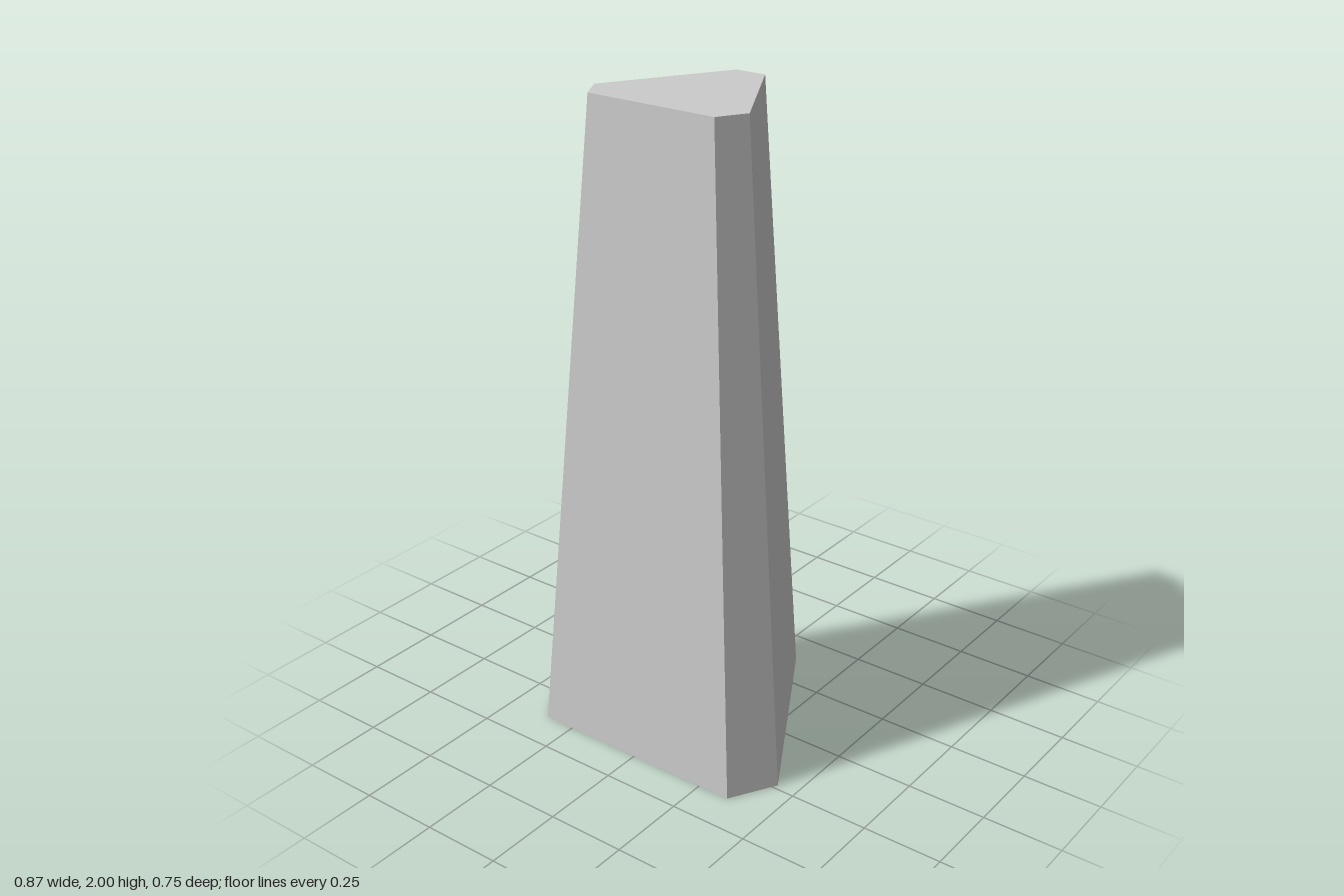
import * as THREE from 'three';

const TOP_RADIUS = 0.2805, BOTTOM_RADIUS = 0.4625, HEIGHT = 2;
const CENTRE_Z = 0.077; // axis of the three-fold symmetry
const CORNER_HALF_ANGLE = THREE.MathUtils.degToRad(10.25);

// Tapered three-sided pillar with chamfered corners: a six-sided frustum whose
// edges are drawn together in pairs around the three corner directions.
function pillarGeometry() {
  const sixth = Math.PI / 3, third = 2 * sixth;
  const geometry = new THREE.CylinderGeometry(
    TOP_RADIUS, BOTTOM_RADIUS, HEIGHT, 6, 1, false, Math.PI / 6
  ).toNonIndexed();
  const pos = geometry.attributes.position;
  for (let i = 0; i < pos.count; i++) {
    const x = pos.getX(i), z = pos.getZ(i);
    const radius = Math.hypot(x, z);
    const angle = Math.atan2(x, z);
    const corner = sixth + third * Math.round((angle - sixth) / third);
    const moved = corner + Math.sign(angle - corner) * CORNER_HALF_ANGLE;
    pos.setXYZ(i, radius * Math.sin(moved), pos.getY(i), radius * Math.cos(moved));
  }
  geometry.translate(0, HEIGHT / 2, CENTRE_Z);
  geometry.computeVertexNormals();
  return geometry;
}

export function createModel() {
  const group = new THREE.Group();
  group.name = 'taperedPillar';
  const material = new THREE.MeshStandardMaterial({ color: 0xcccccc, flatShading: true });
  const pillar = new THREE.Mesh(pillarGeometry(), material);
  pillar.name = 'pillar';
  group.add(pillar);
  return group;
}
